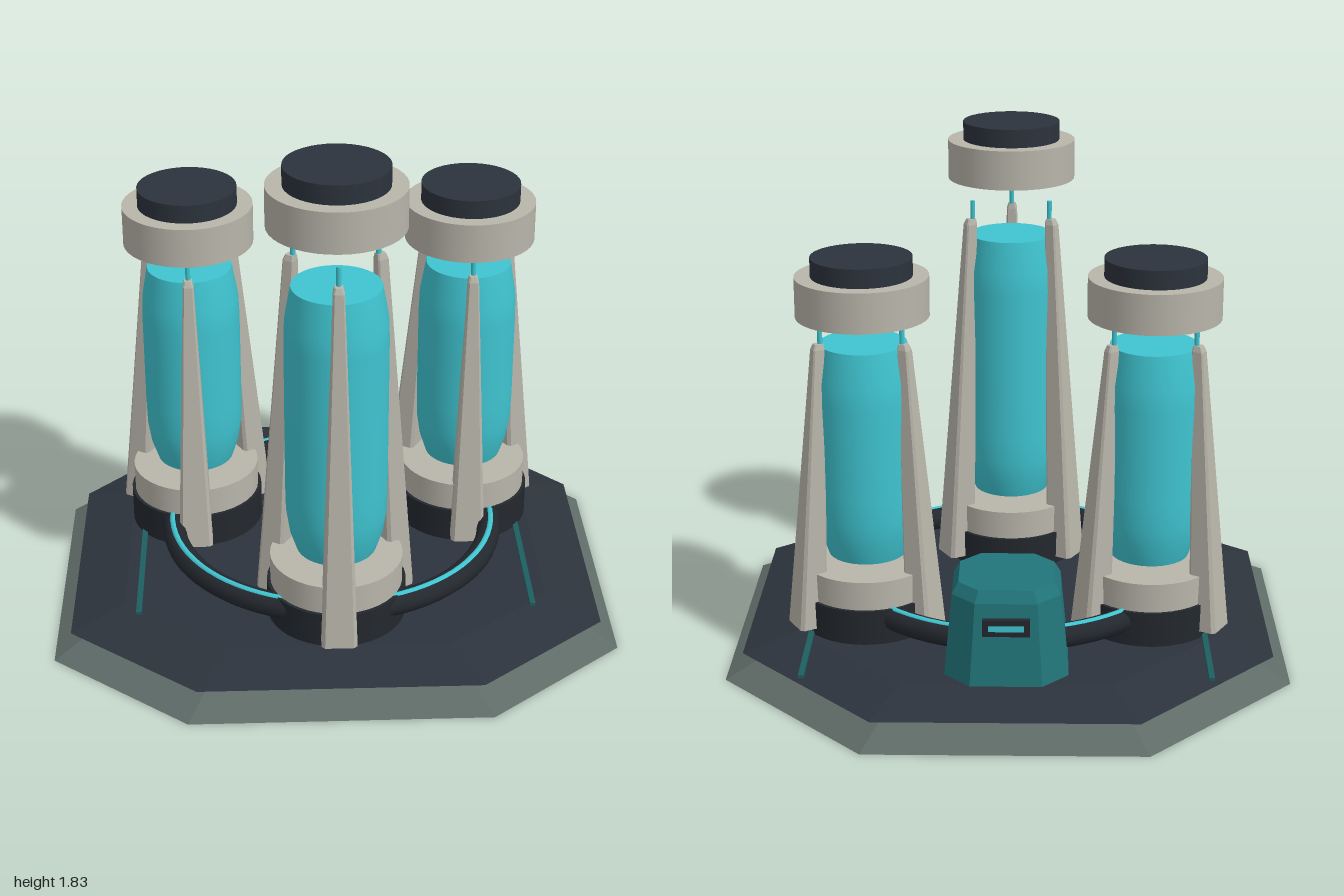
import * as THREE from 'three';
import { ConvexGeometry } from 'three/addons/geometries/ConvexGeometry.js';

const mat = (name, color, flat = false) => {
  const m = new THREE.MeshStandardMaterial({ color, flatShading: flat });
  m.name = name;
  return m;
};

export function createModel() {
  const root = new THREE.Group();
  root.name = 'reactorPlatform';
  const stone = mat('baseGrey', 0x5e6b67, true);
  const dark = mat('darkMetal', 0x2c333c);
  const black = mat('pipeBlack', 0x23282e);
  const pale = mat('paleMetal', 0xb8b5aa);
  const glow = mat('brightTeal', 0x3fc4d0);
  const teal = mat('housingTeal', 0x21757a, true);
  const trim = mat('trimTeal', 0x1c5f60);

  const add = (parent, name, geometry, material, x = 0, y = 0, z = 0) => {
    const mesh = new THREE.Mesh(geometry, material);
    mesh.name = name;
    mesh.position.set(x, y, z);
    parent.add(mesh);
    return mesh;
  };
  // Upright cylinder between two heights
  const drum = (parent, name, r, y0, y1, material, x = 0, z = 0) =>
    add(parent, name, new THREE.CylinderGeometry(r, r, y1 - y0, 40), material, x, (y0 + y1) / 2, z);
  // Convex solid through stacked outlines: [y, [[x, z], ...]]
  const loft = (layers) => new ConvexGeometry(
    layers.flatMap(([y, pts]) => pts.map(([x, z]) => new THREE.Vector3(x, y, z))));
  const scaled = (pts, s) => pts.map(([x, z]) => [x * s, z * s]);
  // Rectangle with cut corners, centred on (0, cz)
  const cutRect = (hx, hz, c, cz = 0) => [
    [hx - c, -hz], [hx, -hz + c], [hx, hz - c], [hx - c, hz],
    [-hx + c, hz], [-hx, hz - c], [-hx, -hz + c], [-hx + c, -hz],
  ].map(([x, z]) => [x, z + cz]);
  const mirrored = (half) => [...half, ...half.map(([x, z]) => [-x, z])];

  // Octagonal platform
  const footing = mirrored([[0.48, -0.96], [1, -0.43], [1, 0.575], [0.52, 0.955]]);
  const deck = mirrored([[0.45, -0.905], [0.94, -0.4], [0.94, 0.54], [0.49, 0.895]]);
  add(root, 'baseSkirt', loft([[0, footing], [0.092, scaled(footing, 0.82)]]), stone);
  add(root, 'deck', loft([[0.09, deck], [0.138, scaled(deck, 0.8)]]), dark);
  for (const s of [-1, 1]) {
    add(root, 'deckStrip', new THREE.BoxGeometry(0.02, 0.012, 1.18), trim, s * 0.7, 0.142, -0.09);
  }

  // Ring pipe linking the towers, with a glowing line on top
  const ring = (name, r, tube, y, material) => {
    const g = new THREE.TorusGeometry(r, tube, 12, 80);
    g.rotateX(Math.PI / 2);
    add(root, name, g, material, 0, y, 0.04);
  };
  ring('ringPipe', 0.585, 0.043, 0.223, black);
  ring('ringGlow', 0.59, 0.012, 0.257, glow);

  // One energy tower; glassTop sets its height
  const tower = (name, x, z, glassTop) => {
    const g = new THREE.Group();
    g.name = name;
    g.position.set(x, 0, z);
    root.add(g);
    drum(g, 'towerBase', 0.245, 0.135, 0.265, black);
    drum(g, 'collar', 0.233, 0.265, 0.37, pale);

    // Floating glass core
    const profile = [[0.0, 0.4], [0.14, 0.4], [0.14, 0.4], [0.163, 0.47], [0.175, 0.55], [0.177, 0.65],
      [0.177, glassTop - 0.2], [0.174, glassTop - 0.12], [0.153, glassTop]];
    add(g, 'glassCore', new THREE.LatheGeometry(
      profile.slice(2).map(([r, y]) => new THREE.Vector2(r, y)), 40), glow);
    for (const [y, r, turn] of [[0.4, 0.14, 1], [glassTop, 0.153, -1]]) {
      const disc = new THREE.CircleGeometry(r, 40);
      disc.rotateX(turn * Math.PI / 2);
      add(g, 'glassEnd', disc, glow, 0, y, 0);
    }

    // Three tapered legs, each with a glowing rod at its tip
    const legTop = glassTop + (glassTop > 1.3 ? 0.075 : 0.02);
    const legGeometry = loft([
      [0.165, cutRect(0.062, 0.052, 0.012, 0.243)],
      [legTop - 0.02, cutRect(0.019, 0.021, 0.005, 0.173)],
      [legTop, cutRect(0.014, 0.016, 0.005, 0.17)],
    ]);
    for (let i = 0; i < 3; i++) {
      const strut = new THREE.Group();
      strut.name = 'strut';
      strut.rotation.y = i * Math.PI * 2 / 3;
      g.add(strut);
      add(strut, 'leg', legGeometry, pale);
      add(strut, 'rod', new THREE.CylinderGeometry(0.009, 0.009, 0.1, 10), glow, 0, legTop + 0.017, 0.163);
    }

    // Floating cap
    const capY = glassTop + (glassTop > 1.3 ? 0.215 : 0.098);
    drum(g, 'cap', 0.233, capY, capY + 0.143, pale);
    drum(g, 'capLid', 0.177, capY + 0.143, capY + 0.21, dark);
  };
  tower('frontTower', 0, 0.475, 1.405);
  tower('leftTower', 0.505, -0.18, 1.18);
  tower('rightTower', -0.505, -0.18, 1.18);

  // Control housing at the back with a lit slot
  const housing = new THREE.Group();
  housing.name = 'controlHousing';
  housing.position.z = -0.53;
  root.add(housing);
  add(housing, 'housingBody', loft([
    [0.138, cutRect(0.213, 0.207, 0.09)],
    [0.43, cutRect(0.185, 0.178, 0.08)],
    [0.47, cutRect(0.163, 0.157, 0.07)],
  ]), teal);
  add(housing, 'slotFrame', new THREE.BoxGeometry(0.16, 0.06, 0.03), black, 0, 0.35, -0.187);
  add(housing, 'slotLight', new THREE.BoxGeometry(0.12, 0.02, 0.006), glow, 0, 0.35, -0.203);

  return root;
}
